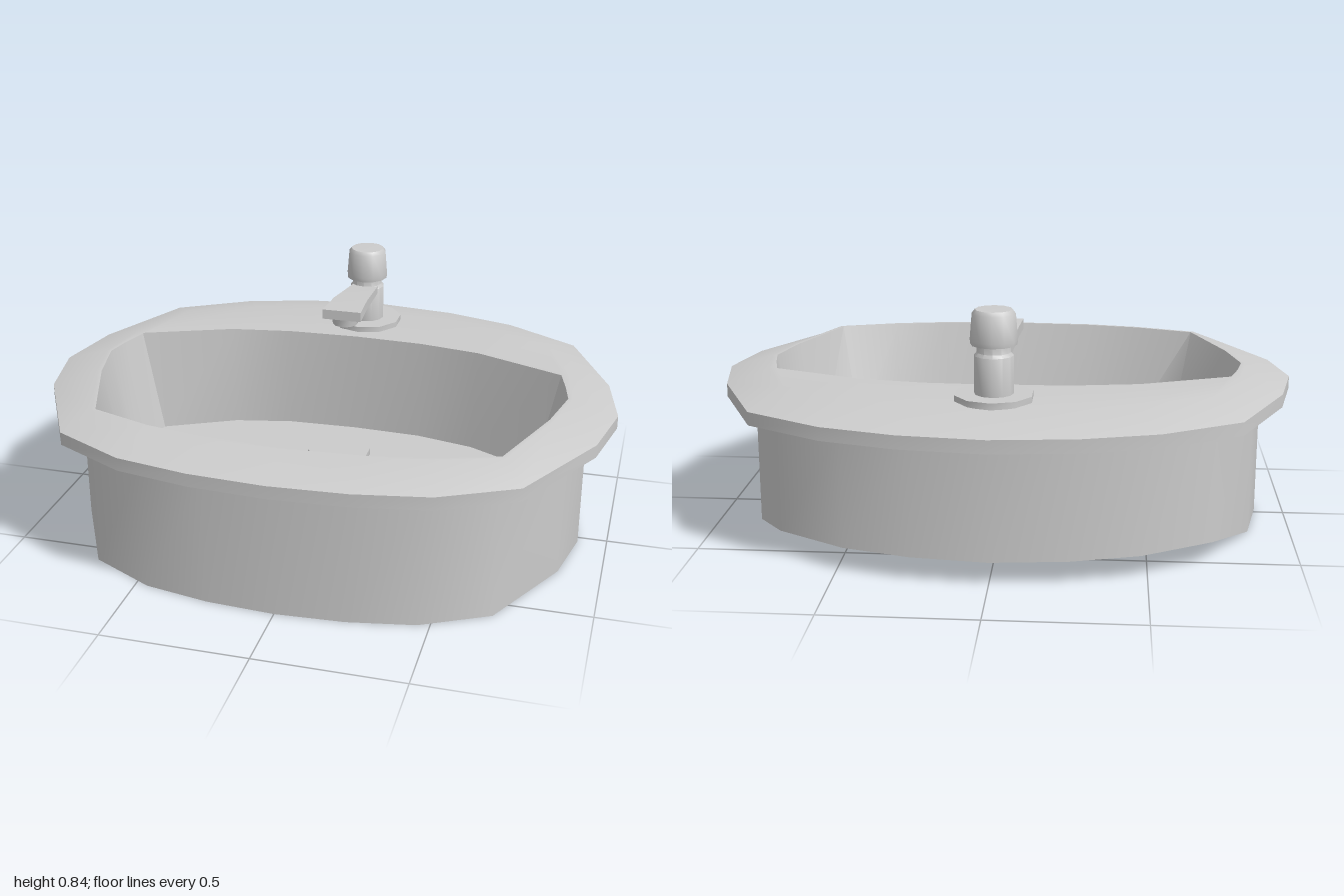
import * as THREE from 'three';
import { toCreasedNormals } from 'three/addons/utils/BufferGeometryUtils.js';

const material = new THREE.MeshStandardMaterial({ color: 0xcccccc });
const shellMaterial = new THREE.MeshStandardMaterial({ color: 0xcccccc, side: THREE.DoubleSide });

// Half outlines [x, z], from the back centre round the left side to the front centre
const OUTER = [[0, -0.815], [0.28, -0.785], [0.53, -0.715], [0.79, -0.565], [0.95, -0.22], [1, 0.03],
  [0.95, 0.27], [0.76, 0.625], [0.51, 0.75], [0.26, 0.795], [0, 0.81]];
const RIDGE = [[0, -0.62], [0.25, -0.6], [0.45, -0.55], [0.7, -0.43], [0.81, -0.18], [0.845, 0.03],
  [0.805, 0.215], [0.69, 0.525], [0.475, 0.595], [0.285, 0.63], [0, 0.645]];
const OPENING = [[0, -0.335], [0.25, -0.325], [0.47, -0.29], [0.785, -0.165], [0.81, -0.07], [0.83, 0.03],
  [0.79, 0.21], [0.68, 0.515], [0.47, 0.585], [0.28, 0.62], [0, 0.637]];
const FLOOR = [[0, -0.33], [0.25, -0.32], [0.46, -0.275], [0.71, -0.15], [0.735, -0.06], [0.755, 0.03],
  [0.71, 0.21], [0.61, 0.43], [0.46, 0.505], [0.25, 0.54], [0, 0.553]];
const SKIRT = OUTER.map(([x, z]) => [x * 0.9, z * 0.92]);

// Mirrors a half outline into a closed ring; y is a height or a rule by point index
function ring(half, y) {
  const pts = half.map(([x, z], i) => [x, typeof y === 'function' ? y(i) : y, z]);
  const mirrored = pts.slice(1, -1).reverse().map(([x, h, z]) => [-x, h, z]);
  return [...pts, ...mirrored];
}

// Joins rings with quads, and optionally closes the last one with a fan
function loft(rings, centre) {
  const n = rings[0].length;
  const pos = rings.flat(2);
  const index = [];
  for (let r = 0; r < rings.length - 1; r++) {
    for (let i = 0; i < n; i++) {
      const a = r * n + i, b = r * n + (i + 1) % n;
      index.push(a, a + n, b, b, a + n, b + n);
    }
  }
  if (centre) {
    const base = (rings.length - 1) * n;
    pos.push(...centre);
    for (let i = 0; i < n; i++) index.push(base + i, rings.length * n, base + (i + 1) % n);
  }
  const g = new THREE.BufferGeometry();
  g.setAttribute('position', new THREE.Float32BufferAttribute(pos, 3));
  g.setIndex(index);
  return g;
}

function addPart(parent, name, geometry, mat = material, crease = 0.8) {
  const g = geometry.index ? geometry.toNonIndexed() : geometry;
  const mesh = new THREE.Mesh(toCreasedNormals(g, crease), mat);
  mesh.name = name;
  parent.add(mesh);
  return mesh;
}

const lathe = (profile, sides) =>
  new THREE.LatheGeometry(profile.map(([r, y]) => new THREE.Vector2(r, y)), sides);

export function createModel() {
  const sink = new THREE.Group();
  sink.name = 'washbasin';

  // Outer skirt, open below, cut away at the back
  addPart(sink, 'skirt', loft([
    ring(SKIRT, i => (i <= 3 ? 0.08 : 0)), ring(SKIRT, 0.455),
  ]), shellMaterial);

  // Overhanging rim with a sloped edge and a flat deck
  addPart(sink, 'rim', loft([
    ring(SKIRT, 0.455), ring(OUTER, 0.455), ring(OUTER, 0.5), ring(RIDGE, 0.545), ring(OPENING, 0.545),
  ]), shellMaterial);

  // Bowl walls and floor
  addPart(sink, 'bowl', loft([ring(OPENING, 0.545), ring(FLOOR, 0.17)], [0, 0.17, 0.1]), shellMaterial);

  const drain = addPart(sink, 'drain', new THREE.CylinderGeometry(0.115, 0.115, 0.035, 10));
  drain.position.set(0, 0.177, -0.09);

  // Tap
  const tap = new THREE.Group();
  tap.name = 'tap';
  tap.position.z = -0.51;
  sink.add(tap);

  const flange = addPart(tap, 'flange', new THREE.CylinderGeometry(0.13, 0.13, 0.022, 10));
  flange.position.y = 0.554;

  addPart(tap, 'body', lathe([
    [0, 0.56], [0.064, 0.56], [0.064, 0.69], [0.055, 0.7], [0.055, 0.735], [0, 0.735],
  ], 12));

  addPart(tap, 'knob', lathe([
    [0, 0.725], [0.075, 0.725], [0.077, 0.74], [0.07, 0.825], [0.06, 0.838], [0, 0.84],
  ], 12));

  // Spout: side profile extruded, then tapered towards the body
  const side = new THREE.Shape([
    [0, 0.67], [0.27, 0.69], [0.39, 0.69], [0.39, 0.725], [0.26, 0.725], [0, 0.695],
  ].map(([z, y]) => new THREE.Vector2(z, y)));
  const spout = new THREE.ExtrudeGeometry(side, { depth: 2, bevelEnabled: false });
  spout.translate(0, 0, -1);
  spout.rotateY(-Math.PI / 2);
  const p = spout.attributes.position;
  for (let i = 0; i < p.count; i++) {
    const t = p.getZ(i) / 0.39;
    p.setX(i, p.getX(i) * (0.047 + 0.023 * t));
  }
  addPart(tap, 'spout', spout, material, 0.4);

  const nozzle = addPart(tap, 'nozzle', new THREE.CylinderGeometry(0.05, 0.045, 0.035, 10));
  nozzle.position.set(0, 0.677, 0.335);

  return sink;
}
